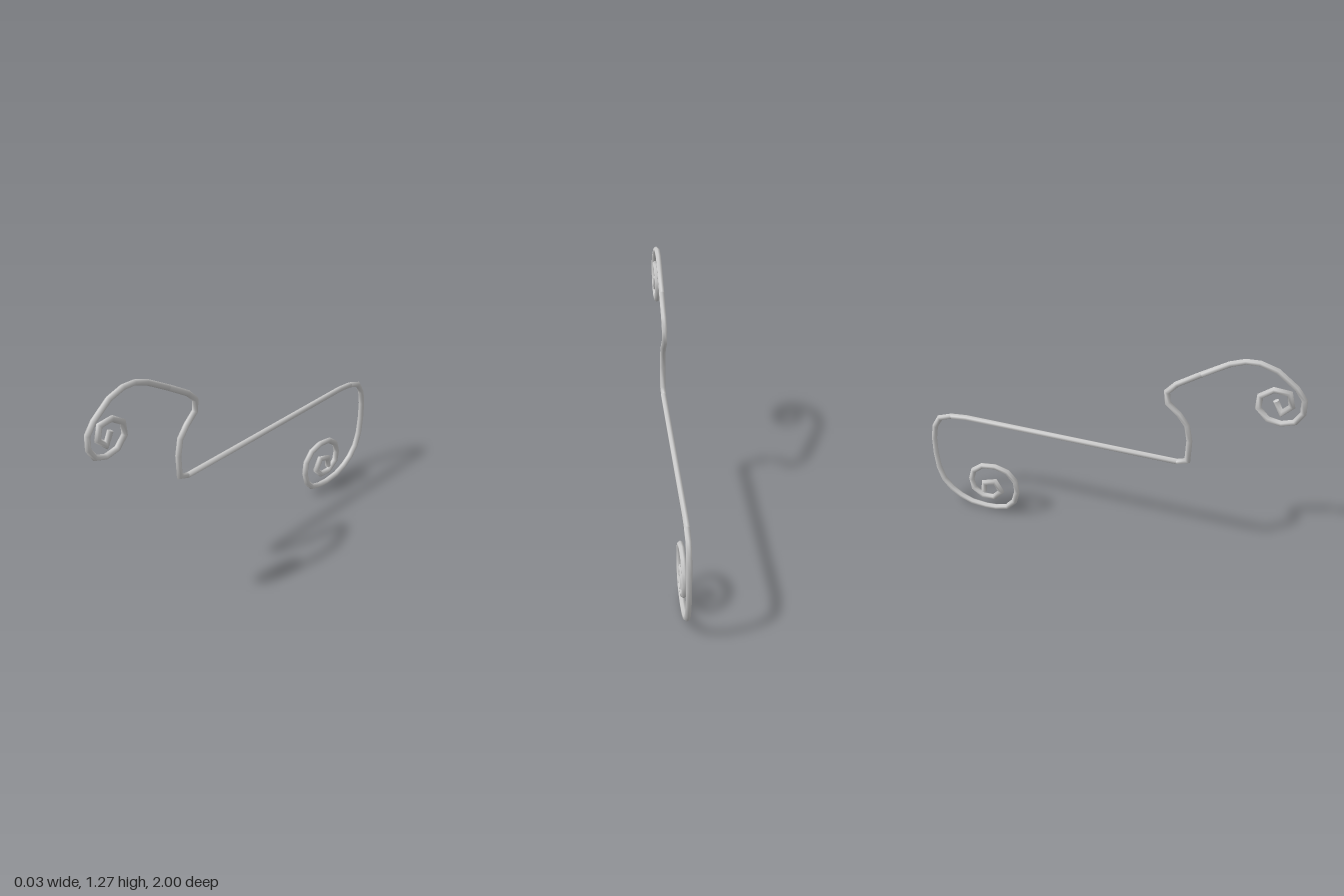
import * as THREE from 'three';

// Six-sided rod with ridges on the inner and outer side of each bend
const RADIUS = 0.0155, SIDES = 6;

// Centreline of the bent rod as (z, y) pairs, one list per part
const parts = {
  upperScroll: [
    [.85, 1.07], [.88, 1.005], [.928, 1.053], [.912, 1.123], [.837, 1.128], [.773, 1.08],
    [.767, 1.011], [.816, .957], [.885, .945], [.949, .968], [.985, 1.027], [.985, 1.102],
    [.944, 1.16], [.848, 1.235], [.762, 1.26], [.693, 1.255], [.618, 1.225],
  ],
  neck: [
    [.484, 1.139], [.361, 1.055], [.313, 1], [.318, .936], [.377, .882],
    [.42, .824], [.436, .733], [.43, .61],
  ],
  bar: [[.377, .591], [.142, .59], [-.783, .588]],
  lowerScroll: [
    [-.869, .578], [-.939, .551], [-.971, .492], [-.983, .412], [-.981, .316], [-.97, .219],
    [-.944, .144], [-.901, .091], [-.848, .053], [-.783, .027], [-.698, .019], [-.639, .024],
    [-.575, .043], [-.532, .091], [-.513, .16], [-.521, .23], [-.564, .281], [-.634, .3],
    [-.709, .289], [-.762, .246], [-.778, .187], [-.767, .128], [-.714, .088], [-.65, .091],
    [-.607, .139], [-.639, .198], [-.703, .176], [-.709, .118],
  ],
};

// Mitred ring of vertices at path point i
function ringAt(path, i) {
  const p = path[i];
  const before = p.clone().sub(path[Math.max(i - 1, 0)]).normalize();
  const after = path[Math.min(i + 1, path.length - 1)].clone().sub(p).normalize();
  const tangent = before.clone().add(after).normalize();
  const mitre = 1 / Math.max(0.6, tangent.dot(i ? before : after));
  const ring = [];
  for (let k = 0; k < SIDES; k++) {
    const a = (k + 0.5) / SIDES * Math.PI * 2;
    const s = RADIUS * mitre * Math.sin(a);
    ring.push([RADIUS * Math.cos(a), p.y + tangent.z * s, p.z - tangent.y * s]);
  }
  return ring;
}

// Skin a run of rings, with optional flat end caps
function skin(rings, capStart, capEnd) {
  const positions = rings.flat(2), index = [];
  for (let i = 0; i < rings.length - 1; i++) {
    for (let k = 0; k < SIDES; k++) {
      const a = i * SIDES + k, b = i * SIDES + (k + 1) % SIDES;
      index.push(a, b, a + SIDES, b, b + SIDES, a + SIDES);
    }
  }
  const addCap = (ring, flip) => {
    const o = positions.length / 3;
    positions.push(...ring.flat());
    for (let k = 1; k < SIDES - 1; k++) {
      index.push(o, o + (flip ? k + 1 : k), o + (flip ? k : k + 1));
    }
  };
  if (capStart) addCap(rings[0], true);
  if (capEnd) addCap(rings[rings.length - 1], false);
  const geometry = new THREE.BufferGeometry();
  geometry.setAttribute('position', new THREE.Float32BufferAttribute(positions, 3));
  geometry.setIndex(index);
  geometry.computeVertexNormals();
  return geometry;
}

export function createModel() {
  const group = new THREE.Group();
  group.name = 'scrolledRod';
  const material = new THREE.MeshStandardMaterial({ color: 0xcccccc });
  const path = Object.values(parts).flat().map(([z, y]) => new THREE.Vector3(0, y, z));
  const rings = path.map((_, i) => ringAt(path, i));

  // Each part runs on to the first ring of the next one
  let start = 0;
  for (const [name, points] of Object.entries(parts)) {
    const end = start + points.length;
    const geometry = skin(rings.slice(start, end + 1), start === 0, end === rings.length);
    const mesh = new THREE.Mesh(geometry, material);
    mesh.name = name;
    group.add(mesh);
    start = end;
  }
  return group;
}
